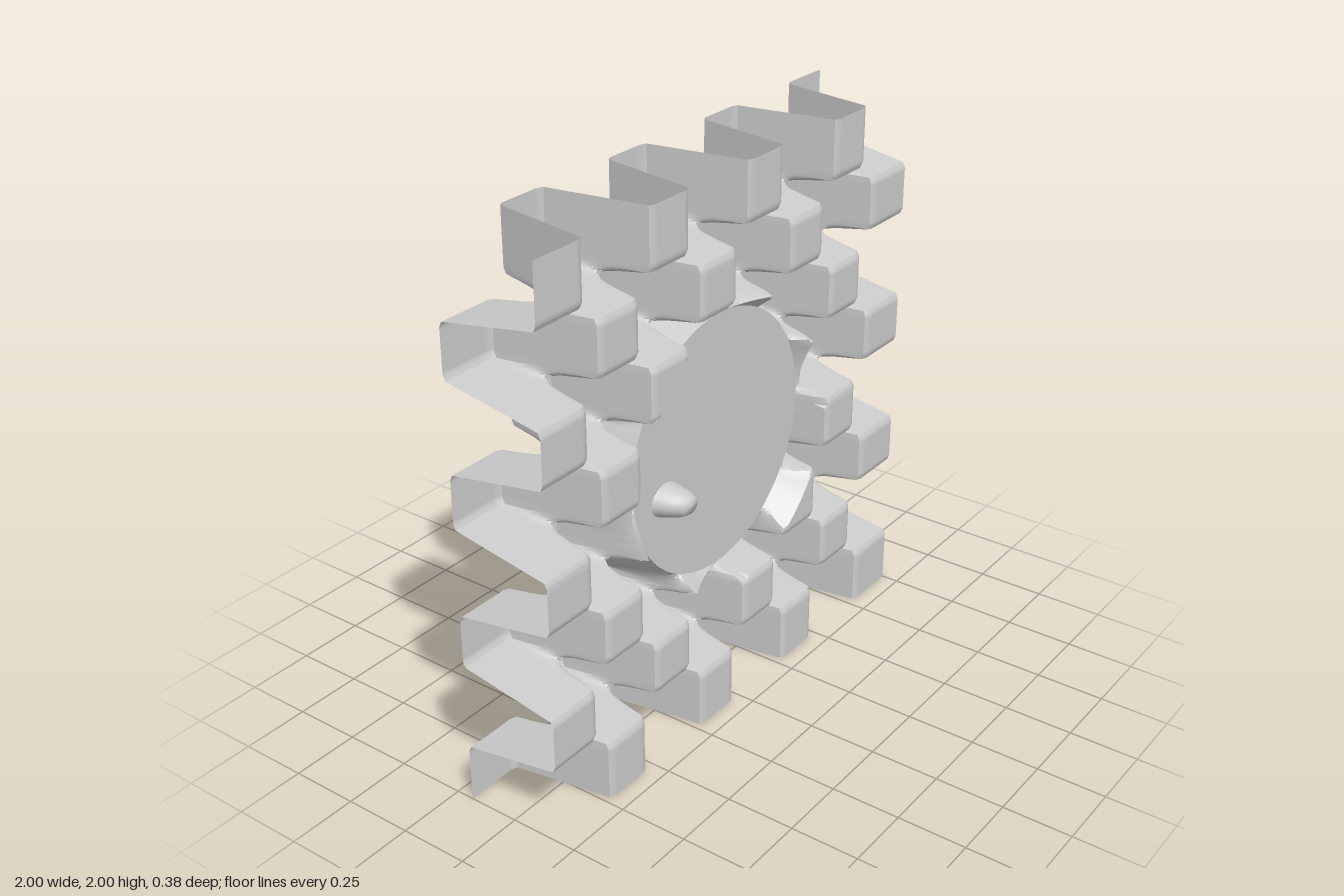
import * as THREE from 'three';
import { toCreasedNormals } from 'three/addons/utils/BufferGeometryUtils.js';

const PITCH = 0.252, DEPTH = 0.185; // checker cell size, relief height
const R0 = 0.47, R1 = 0.53, DISC_Z = 0.09; // disc rim, end of its ramp, disc plane
const CY = 1;
const NUB = { x: -0.295, y: -0.09, rx: 0.075, ry: 0.06 };

const clamp01 = (t) => Math.min(1, Math.max(0, t));

// Bevelled square wave that changes sign at every cell border
function wave(u) {
  const k = Math.max(-3, Math.min(3, Math.round(u / PITCH)));
  const d = u - k * PITCH, a = Math.abs(d);
  const h = a < 0.03 ? (0.95 * a) / 0.03 : 0.95 + 0.05 * clamp01((a - 0.03) / 0.02);
  return h * Math.sign(d) * (k % 2 ? -1 : 1);
}

// Height of the sheet: checker relief blended into the central disc
function height(x, y) {
  const t = clamp01((Math.hypot(x, y) - R0) / (R1 - R0));
  return THREE.MathUtils.lerp(DISC_Z, -DEPTH * wave(x) * wave(y), t);
}

// Grid lines that follow the ramps and bevels of each cell
function gridLines() {
  const lines = [];
  const span = (a, b, n) => { for (let i = 0; i < n; i++) lines.push(a + ((b - a) * i) / n); };
  let start = -1;
  for (let k = -3; k <= 3; k++) {
    const c = k * PITCH;
    span(start, c - 0.05, 16);
    span(c - 0.05, c - 0.03, 2);
    span(c - 0.03, c + 0.03, 6);
    span(c + 0.03, c + 0.05, 2);
    start = c + 0.05;
  }
  span(start, 1, 16);
  lines.push(1);
  return lines;
}

function checkerSheet() {
  const g = gridLines(), n = g.length, pos = [], index = [], inside = [];
  for (const gy of g) {
    for (const gx of g) {
      // pull nearby points onto the two circles for a clean rim
      let x = gx, y = gy;
      const r = Math.hypot(x, y);
      for (const R of [R0, R1]) {
        if (Math.abs(r - R) < 0.0075) { x *= R / r; y *= R / r; }
      }
      pos.push(x, y + CY, height(x, y));
      inside.push(Math.hypot(x, y) < R0 + 0.0005);
    }
  }
  const tri = (a, b, c) => {
    if (!(inside[a] && inside[b] && inside[c])) index.push(a, b, c);
  };
  for (let j = 0; j < n - 1; j++) {
    for (let i = 0; i < n - 1; i++) {
      const a = j * n + i, b = a + 1, c = b + n, d = a + n;
      tri(a, b, c);
      tri(a, c, d);
    }
  }
  const geo = new THREE.BufferGeometry();
  geo.setAttribute('position', new THREE.Float32BufferAttribute(pos, 3));
  geo.setIndex(index);
  return toCreasedNormals(geo, 0.5);
}

// Flat disc with an opening under the hollow nub
function centreDisc() {
  const shape = new THREE.Shape().absarc(0, 0, R0 + 0.001, 0, Math.PI * 2);
  const hole = new THREE.Path().absellipse(NUB.x, NUB.y, NUB.rx, NUB.ry, 0, Math.PI * 2, true);
  shape.holes.push(hole);
  return new THREE.ShapeGeometry(shape, 64);
}

// Small hollow nub, leaning slightly, standing out of the disc
function nub() {
  const profile = [[1, 0], [0.9, 0.025], [0.72, 0.07], [0.5, 0.095], [0, 0.1]];
  const geo = new THREE.LatheGeometry(profile.map(([r, h]) => new THREE.Vector2(r, h)), 20);
  geo.rotateX(Math.PI / 2);
  geo.scale(NUB.rx, NUB.ry, 1);
  const p = geo.attributes.position;
  for (let i = 0; i < p.count; i++) p.setX(i, p.getX(i) + p.getZ(i) * 0.12);
  geo.computeVertexNormals();
  return geo;
}

export function createModel() {
  const model = new THREE.Group();
  model.name = 'checkerReliefPanel';
  const material = new THREE.MeshStandardMaterial({ color: 0xcccccc, side: THREE.DoubleSide });
  const add = (name, geo, x = 0, y = 0, z = 0) => {
    const mesh = new THREE.Mesh(geo, material);
    mesh.name = name;
    mesh.position.set(x, y, z);
    model.add(mesh);
  };
  add('checkerSheet', checkerSheet());
  add('centreDisc', centreDisc(), 0, CY, DISC_Z);
  add('nub', nub(), NUB.x, CY + NUB.y, DISC_Z);
  return model;
}
